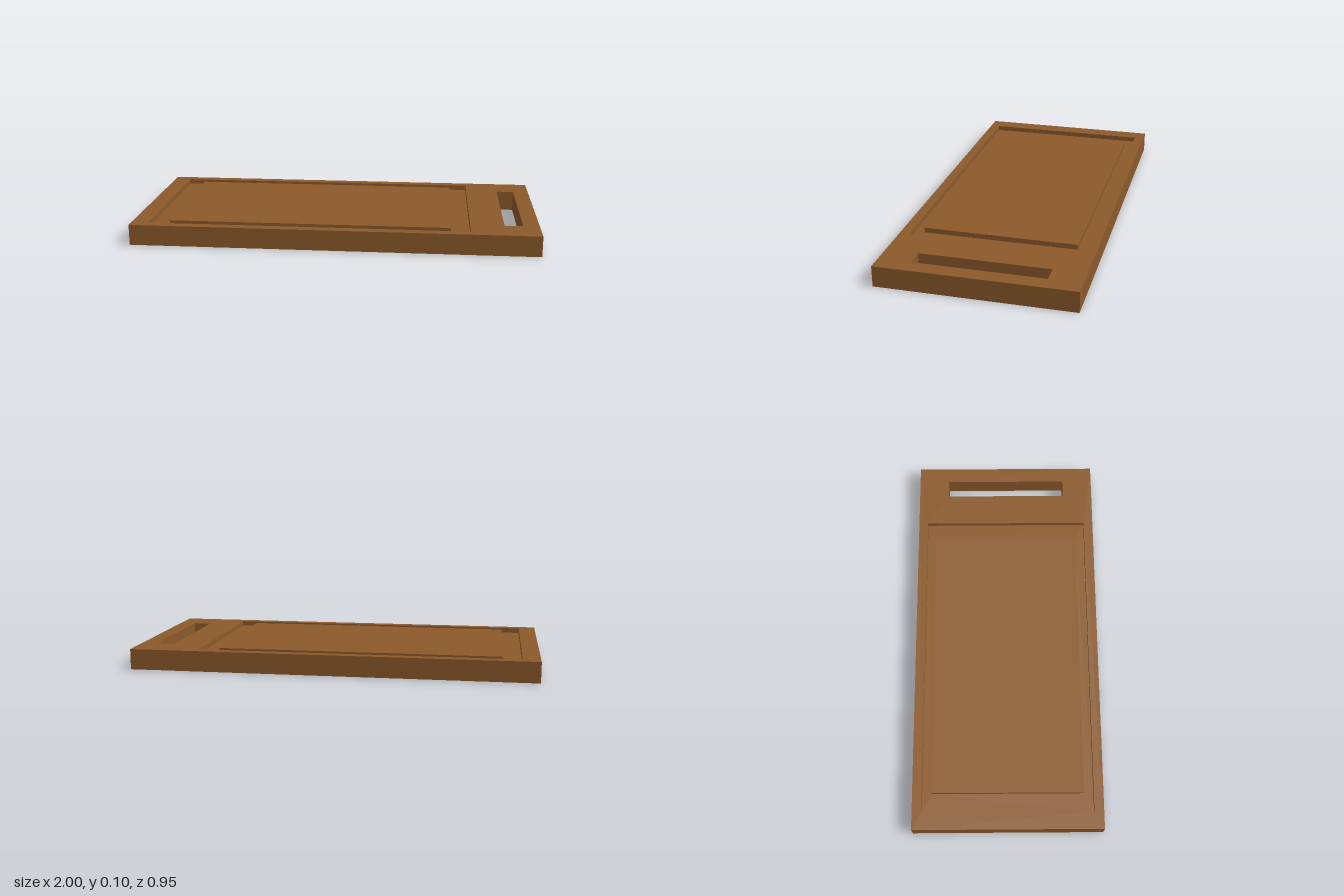
import * as THREE from 'three';

const TOP = 0.102, FLOOR = 0.077;
// Rectangles in plan: [x0, x1, half depth in z]
const BOARD = [-1, 1, 0.473];
const GROOVE = [-0.914, 0.663, 0.425];
const PLATEAU = [-0.82, 0.57, 0.377];
const SLOT = [0.83, 0.92, 0.315];

const wood = new THREE.MeshStandardMaterial({ color: 0x8b5a2b });
wood.name = 'brown wood';

const corners = ([x0, x1, d]) =>
  [[x0, -d], [x1, -d], [x1, d], [x0, d]].map(([x, z]) => new THREE.Vector2(x, z));

function add(group, name, geometry) {
  const mesh = new THREE.Mesh(geometry, wood);
  mesh.name = name;
  group.add(mesh);
}

// Flat horizontal face with rectangular openings, facing up or down
function face(rect, holes, y, up = true) {
  const shape = new THREE.Shape(corners(rect));
  holes.forEach((h) => shape.holes.push(new THREE.Path(corners(h))));
  return new THREE.ShapeGeometry(shape).rotateX(up ? -Math.PI / 2 : Math.PI / 2).translate(0, y, 0);
}

// Four vertical walls around a rectangle, facing outward or inward
function walls([x0, x1, d], y0, y1, outward = true) {
  const w = x1 - x0, h = y1 - y0;
  const box = new THREE.BoxGeometry(w, h, 2 * d).translate((x0 + x1) / 2, (y0 + y1) / 2, 0);
  // Drop the top and bottom of the box (sides 2 and 3)
  const index = Array.from(box.index.array).filter((_, i) => i < 12 || i >= 24);
  if (!outward) index.reverse();
  box.setIndex(index);
  box.clearGroups();
  if (!outward) {
    const n = box.attributes.normal;
    for (let i = 0; i < n.count; i++) n.setXYZ(i, -n.getX(i), -n.getY(i), -n.getZ(i));
  }
  return box;
}

export function createModel() {
  const board = new THREE.Group();
  board.name = 'cuttingBoard';

  // Board body
  add(board, 'boardSides', walls(BOARD, 0, TOP));
  add(board, 'boardUnderside', face(BOARD, [SLOT], 0, false));
  add(board, 'boardRim', face(BOARD, [GROOVE, SLOT], TOP));

  // Handle slot through the board
  add(board, 'handleSlot', walls(SLOT, 0, TOP, false));

  // Juice groove around the raised cutting surface
  add(board, 'grooveFloor', face(GROOVE, [PLATEAU], FLOOR));
  add(board, 'grooveOuterWall', walls(GROOVE, FLOOR, TOP, false));
  add(board, 'grooveInnerWall', walls(PLATEAU, FLOOR, TOP));
  add(board, 'cuttingSurface', face(PLATEAU, [], TOP));

  return board;
}
